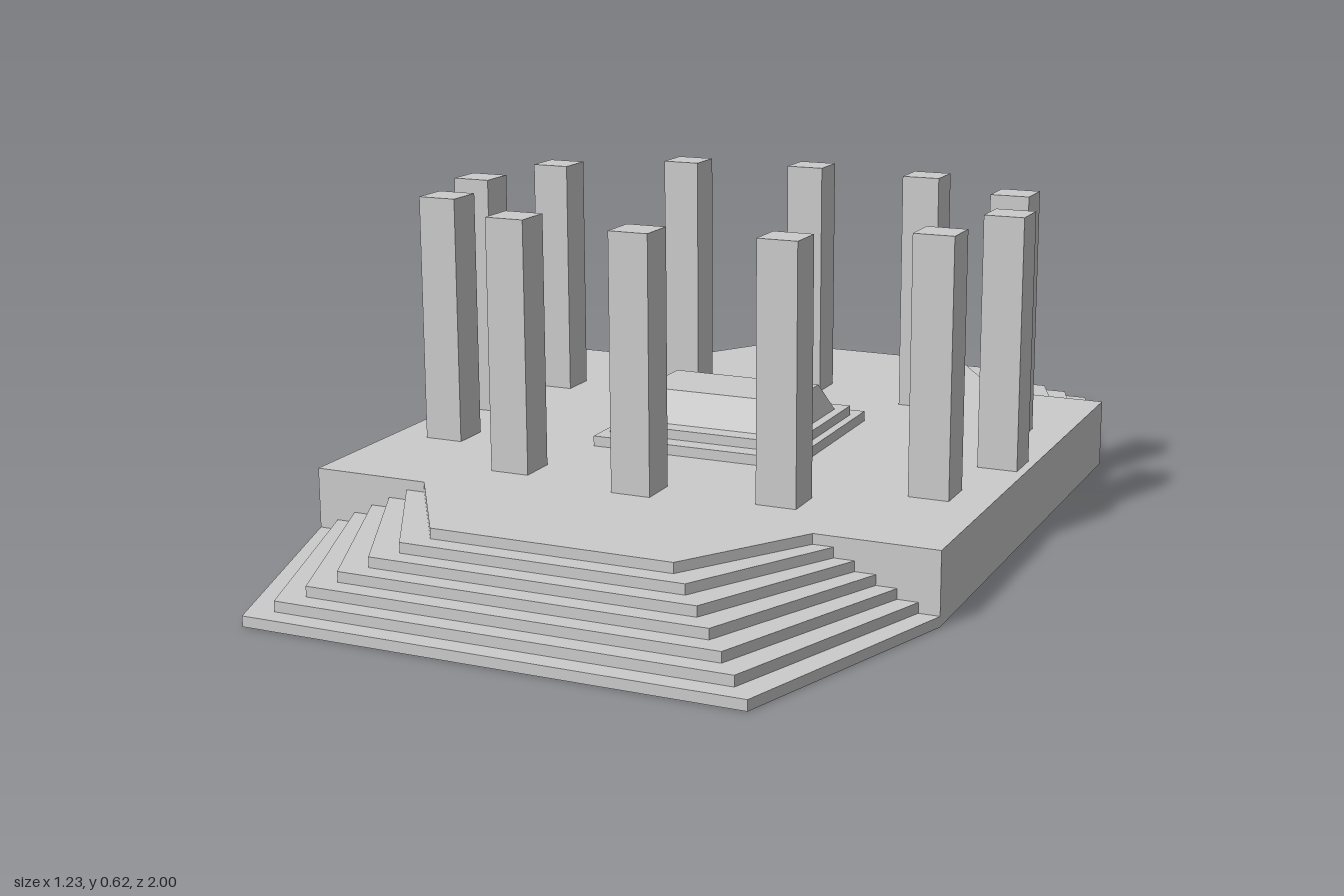
import * as THREE from 'three';

const HALF_X = 0.613, HALF_Z = 0.537, DECK = 0.135, LEVELS = 7;
const RISE = DECK / LEVELS, TREAD = 0.0383;
const PILLAR = 0.0385, PILLAR_TOP = 0.615;
const ALTAR = [0.209, 0.193];

// Thin open shells, so both sides show
const material = new THREE.MeshStandardMaterial({ color: 0xcccccc, flatShading: true, side: THREE.DoubleSide });

function mesh(geometry, name) {
  const m = new THREE.Mesh(geometry, material);
  m.name = name;
  return m;
}

// Skin a series of matching cross-sections with flat quads
function skin(sections, closed) {
  const pos = [];
  for (let i = 0; i + 1 < sections.length; i++) {
    const low = sections[i], high = sections[i + 1], n = low.length;
    for (let j = 0; j < (closed ? n : n - 1); j++) {
      const k = (j + 1) % n;
      pos.push(...low[j], ...low[k], ...high[k], ...low[j], ...high[k], ...high[j]);
    }
  }
  const g = new THREE.BufferGeometry();
  g.setAttribute('position', new THREE.Float32BufferAttribute(pos, 3));
  g.computeVertexNormals();
  return g;
}

const rect = (x, z, y, cx = 0, cz = 0) =>
  [[cx - x, y, cz + z], [cx + x, y, cz + z], [cx + x, y, cz - z], [cx - x, y, cz - z]];

// Outline of one stair level, running from left to right around the front
function stairOutline(i, y) {
  const d = i * TREAD, side = HALF_X - d, front = 0.46 - d;
  return [[-side, y, HALF_Z], [-front, y, 1 - d], [front, y, 1 - d], [side, y, HALF_Z]];
}

function pillarCentres() {
  const list = [[0, 0.421], [0, -0.421], [0.558, 0], [-0.558, 0]];
  for (const sx of [1, -1]) for (const sz of [1, -1]) {
    list.push([sx * 0.268, sz * 0.384], [sx * 0.5, sz * 0.231]);
  }
  return list;
}

function createStairs() {
  const stairs = new THREE.Group();
  // Risers and treads
  const sections = [];
  for (let i = 0; i < LEVELS; i++) {
    sections.push(stairOutline(i, i * RISE), stairOutline(i, (i + 1) * RISE));
  }
  stairs.add(mesh(skin(sections, false), 'steps'));

  // Stepped pieces of platform wall above the stair ends
  for (const s of [1, -1]) {
    const pts = [new THREE.Vector2(s * HALF_X, DECK)];
    for (let i = 0; i < LEVELS - 1; i++) {
      const y = (i + 1) * RISE;
      pts.push(new THREE.Vector2(s * (HALF_X - i * TREAD), y));
      pts.push(new THREE.Vector2(s * (HALF_X - (i + 1) * TREAD), y));
    }
    pts.push(new THREE.Vector2(s * (HALF_X - (LEVELS - 1) * TREAD), DECK));
    const wall = mesh(new THREE.ShapeGeometry(new THREE.Shape(pts)), 'cornerWall');
    wall.position.z = HALF_Z;
    stairs.add(wall);
  }
  return stairs;
}

// Deck with the top stair landings, open beneath the pillars and the altar
function createDeck() {
  const top = stairOutline(LEVELS - 1, 0).map(([x, , z]) => [x, z]);
  const front = [[-HALF_X, HALF_Z], ...top, [HALF_X, HALF_Z]];
  const outline = [...front, ...front.map(([x, z]) => [-x, -z])];
  const toVectors = pts => pts.map(([x, z]) => new THREE.Vector2(x, -z));
  const shape = new THREE.Shape(toVectors(outline));
  const addHole = r => shape.holes.push(new THREE.Path(toVectors(r.map(([x, , z]) => [x, z]))));
  addHole(rect(...ALTAR, 0));
  for (const [x, z] of pillarCentres()) addHole(rect(PILLAR, PILLAR, 0, x, z));
  const g = new THREE.ShapeGeometry(shape);
  g.rotateX(-Math.PI / 2).translate(0, DECK, 0);
  return mesh(g, 'deck');
}

export function createModel() {
  const model = new THREE.Group();
  model.name = 'pillaredPlatform';
  model.add(createDeck());

  // Long side walls
  for (const s of [1, -1]) {
    const wall = mesh(new THREE.PlaneGeometry(2 * HALF_Z, DECK), 'sideWall');
    wall.rotation.y = s * Math.PI / 2;
    wall.position.set(s * HALF_X, DECK / 2, 0);
    model.add(wall);
  }

  // Stairs at both ends
  for (const [name, turn] of [['frontStairs', 0], ['backStairs', Math.PI]]) {
    const stairs = createStairs();
    stairs.name = name;
    stairs.rotation.y = turn;
    model.add(stairs);
  }

  // Ring of hollow square pillars, capped by collapsing the last section
  const pillars = new THREE.Group();
  pillars.name = 'pillars';
  const pillarGeometry = skin([
    rect(PILLAR, PILLAR, DECK), rect(PILLAR, PILLAR, PILLAR_TOP), rect(0, 0, PILLAR_TOP),
  ], true);
  for (const [x, z] of pillarCentres()) {
    const p = mesh(pillarGeometry, 'pillar');
    p.position.set(x, 0, z);
    pillars.add(p);
  }
  model.add(pillars);

  // Central altar: two steps and a tapered block
  model.add(mesh(skin([
    rect(...ALTAR, DECK), rect(...ALTAR, 0.155),
    rect(0.192, 0.155, 0.155), rect(0.192, 0.155, 0.174),
    rect(0.173, 0.117, 0.174), rect(0.154, 0.076, 0.232),
    rect(0, 0, 0.232),
  ], true), 'altar'));

  return model;
}
